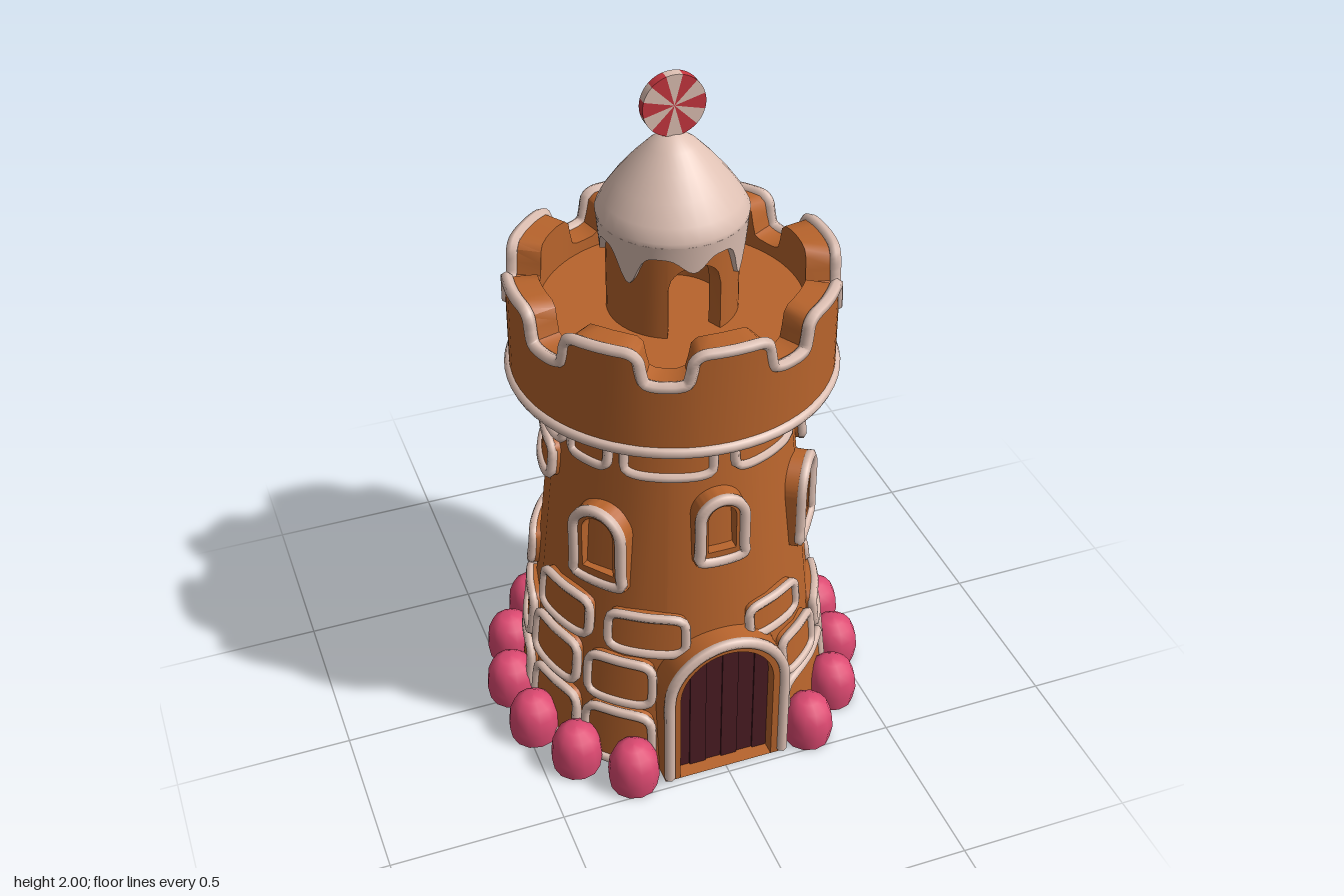
import * as THREE from 'three';
import { toCreasedNormals } from 'three/addons/utils/BufferGeometryUtils.js';

const mat = (name, color, side = THREE.FrontSide) => {
  const m = new THREE.MeshStandardMaterial({ color, side });
  m.name = name;
  return m;
};

export function createModel() {
  const biscuit = mat('gingerbread', 0xb8642c, THREE.DoubleSide);
  const icing = mat('icing', 0xdfc1b4);
  const wood = mat('chocolateDoor', 0x4a1c22, THREE.DoubleSide);
  const pink = mat('gumdropPink', 0xde4a72, THREE.DoubleSide);
  const red = mat('candyRed', 0xc8363f);

  const model = new THREE.Group();
  model.name = 'gingerbreadTower';
  const tower = new THREE.Group();
  tower.name = 'tower';
  tower.position.z = 0.025;
  model.add(tower);

  const add = (name, geo, material, parent = tower) => {
    const mesh = new THREE.Mesh(geo, material);
    mesh.name = name;
    parent.add(mesh);
    return mesh;
  };
  const rad = THREE.MathUtils.degToRad;
  // Point around the tower; angle in degrees from the front toward +x
  const polar = (a, y, r) => new THREE.Vector3(r * Math.sin(rad(a)), y, r * Math.cos(rad(a)));
  const wallR = (y) => 0.44 - 0.105 * y;

  // Curved wall from columns [angle, bottom, top], with radii depending on height
  function curvedWall(cols, rOut, rIn) {
    const pos = [];
    const quad = (a, b, c, d) => [a, b, c, a, c, d].forEach((p) => pos.push(p.x, p.y, p.z));
    const corners = ([a, b, t]) => [polar(a, b, rOut(b)), polar(a, t, rOut(t)), polar(a, b, rIn(b)), polar(a, t, rIn(t))];
    for (let i = 0; i + 1 < cols.length; i++) {
      const [ob0, ot0, ib0, it0] = corners(cols[i]);
      const [ob1, ot1, ib1, it1] = corners(cols[i + 1]);
      quad(ob0, ob1, ot1, ot0);
      quad(ib1, ib0, it0, it1);
      quad(ot0, ot1, it1, it0);
      quad(ob1, ob0, ib0, ib1);
    }
    const geo = new THREE.BufferGeometry();
    geo.setAttribute('position', new THREE.Float32BufferAttribute(pos, 3));
    return toCreasedNormals(geo, rad(40));
  }
  const tube = (pts, r, closed, segs) =>
    new THREE.TubeGeometry(new THREE.CatmullRomCurve3(pts, closed), segs, r, 6, closed);

  // Columns round a full circle, bottom raised over an arched opening
  function archedColumns(openings, r, halfW, base, crown, top) {
    const half = THREE.MathUtils.radToDeg(Math.asin(halfW / r));
    const cols = [];
    let from = openings[0] + half;
    openings.forEach((c, k) => {
      const next = (openings[k + 1] ?? openings[0] + 360) - half;
      for (let i = 0; i <= 18; i++) cols.push([from + (next - from) * i / 18, base, top]);
      for (let i = 0; i <= 16; i++) {
        const u = -1 + i / 8;
        cols.push([next + half + u * half, crown - halfW + halfW * Math.sqrt(1 - u * u), top]);
      }
      cols.push([next + 2 * half, base, top]);
      from = next + 2 * half;
    });
    return cols;
  }

  // Tapered hollow body with a doorway
  add('body', curvedWall(archedColumns([0], 0.42, 0.16, 0, 0.455, 1.115), wallR, (y) => wallR(y) - 0.012), biscuit);

  // Raised stones: [from angle, to angle, bottom, top]
  const stones = [];
  const row = (b, t, spans) => spans.forEach(([a0, a1, b2 = b, t2 = t]) => stones.push([a0, a1, b2, t2]));
  row(0.995, 1.105, [[-43, -1], [7, 45], [52, 93], [99, 127], [131, 163], [168, 205], [210, 250], [255, 284], [289, 311]]);
  row(0.84, 0.965, [[72, 114], [116, 133, 0.84, 0.95], [233, 276]]);
  row(0.42, 0.555, [[-85, -54, 0.42, 0.56], [-47, -14], [11, 39, 0.425, 0.54], [110, 156, 0.40, 0.545], [212, 255]]);
  row(0.235, 0.39, [[-88, -59], [-55, -27], [27, 51, 0.225, 0.365], [56, 82, 0.24, 0.365], [87, 113], [119, 142],
    [147, 175], [180, 206], [212, 238], [244, 268]]);
  row(0.02, 0.21, [[-85, -58], [-55, -27], [27, 66], [70, 100], [105, 130], [135, 165], [170, 200], [205, 235], [240, 270]]);
  for (const [a0, a1, b, t] of stones) {
    const mid = (a0 + a1) / 2, half = (a1 - a0) / 2, y = (b + t) / 2, h = (t - b) / 2;
    const cols = [];
    for (let i = 0; i <= 16; i++) {
      const u = -Math.cos(Math.PI * i / 16);
      const s = h * Math.pow(Math.max(0, 1 - Math.abs(u) ** 5), 0.2);
      cols.push([mid + u * half, y - s, y + s]);
    }
    add('stone', curvedWall(cols, (v) => wallR(v) + 0.017, (v) => wallR(v) - 0.005), biscuit);
    const ring = [];
    for (let i = 0; i < 28; i++) {
      const p = i / 28 * Math.PI * 2, c = Math.cos(p), s = Math.sin(p);
      const v = y + Math.sign(s) * Math.abs(s) ** 0.4 * (h - 0.008);
      ring.push(polar(mid + Math.sign(c) * Math.abs(c) ** 0.4 * half * 0.95, v, wallR(v) + 0.018));
    }
    add('stoneIcing', tube(ring, 0.014, true, 40), icing);
  }

  // Arch outline standing on y0
  function arch(path, w, y0, y1) {
    path.moveTo(-w / 2, y0);
    path.lineTo(w / 2, y0);
    path.lineTo(w / 2, y1 - w / 2);
    path.absarc(0, y1 - w / 2, w / 2, 0, Math.PI, false);
    path.closePath();
    return path;
  }
  function archFrame(name, angle, w, y0, y1, rim, back, front, closed) {
    const g = new THREE.Group();
    g.name = name;
    g.rotation.y = rad(angle);
    tower.add(g);
    const shape = arch(new THREE.Shape(), w, y0, y1);
    shape.holes.push(arch(new THREE.Path(), w - 2 * rim, closed ? y0 + rim : y0, y1 - rim));
    const geo = new THREE.ExtrudeGeometry(shape, { depth: front - back, bevelEnabled: false, curveSegments: 16 });
    geo.translate(0, 0, back);
    add('frame', toCreasedNormals(geo, rad(40)), biscuit, g);
    const r = w / 2 - 0.012, spring = y1 - w / 2, pts = [];
    for (let i = 0; i <= 4; i++) pts.push(new THREE.Vector3(r, y0 + 0.012 + (spring - y0 - 0.012) * i / 4, front));
    for (let i = 1; i < 12; i++) {
      const p = Math.PI * i / 12;
      pts.push(new THREE.Vector3(r * Math.cos(p), spring + r * Math.sin(p), front));
    }
    for (let i = 4; i >= 0; i--) pts.push(new THREE.Vector3(-r, y0 + 0.012 + (spring - y0 - 0.012) * i / 4, front));
    add('frameIcing', tube(pts, 0.016, closed, 56), icing, g);
  }
  archFrame('frontWindow', 0, 0.15, 0.73, 0.95, 0.035, 0.33, 0.388, true);
  for (const a of [-52, 55, 180]) archFrame('window', a, 0.175, 0.625, 0.88, 0.038, 0.33, 0.388, true);
  archFrame('doorFrame', 0, 0.37, 0, 0.485, 0.045, 0.35, 0.45, false);

  // Plank door, cut to the arch
  const planks = 6, doorHalf = 0.145;
  for (let k = 0; k < planks; k++) {
    const x0 = -doorHalf + 2 * doorHalf * k / planks, x1 = x0 + 2 * doorHalf / planks;
    const s = new THREE.Shape();
    s.moveTo(x0, 0);
    s.lineTo(x1, 0);
    for (let i = 0; i <= 5; i++) {
      const x = x1 + (x0 - x1) * i / 5;
      s.lineTo(x, 0.3 + Math.sqrt(Math.max(0, doorHalf ** 2 - x * x)));
    }
    const geo = new THREE.ExtrudeGeometry(s, { depth: 0.02, bevelEnabled: false });
    geo.translate(0, 0, 0.385 + (k % 2) * 0.005);
    add('doorPlank', geo, wood);
  }

  // Battlement: eight merlons with an icing line along the crest
  const merlon = [[-18, 1.36], [-15.3, 1.368], [-14, 1.4], [-13, 1.435], [-10.5, 1.45], [-5, 1.453], [0, 1.453],
    [5, 1.453], [10.5, 1.45], [13, 1.435], [14, 1.4], [15.3, 1.368], [18, 1.36], [22.5, 1.358]];
  const crest = [];
  for (let k = 0; k < 8; k++) merlon.forEach(([a, y]) => crest.push([k * 45 + a, y]));
  const battlementCols = crest.map(([a, y]) => [a, 1.15, y]);
  battlementCols.push([342, 1.15, 1.36]);
  add('battlement', curvedWall(battlementCols, () => 0.443, () => 0.358), biscuit);
  add('battlementIcing', tube(crest.map(([a, y]) => polar(a, y - 0.003, 0.438)), 0.017, true, 340), icing);
  const floor = add('battlementFloor', new THREE.CylinderGeometry(0.37, 0.42, 0.17, 40), biscuit);
  floor.position.y = 1.24;
  const band = add('baseIcing', new THREE.TorusGeometry(0.44, 0.017, 8, 64), icing);
  band.rotation.x = Math.PI / 2;
  band.position.y = 1.155;

  // Turret with front and back arches
  add('turret', curvedWall(archedColumns([0, 180], 0.18, 0.075, 1.3, 1.54, 1.63), () => 0.177, () => 0.135), biscuit);

  // Iced roof with drips
  const roof = [[0.2, 1.605], [0.203, 1.625], [0.185, 1.66], [0.15, 1.71], [0.108, 1.76], [0.065, 1.805], [0.03, 1.83], [0, 1.836]];
  add('roof', new THREE.LatheGeometry(roof.map(([x, y]) => new THREE.Vector2(x, y)), 32), icing);
  const drips = [];
  for (let i = 0; i <= 90; i++) {
    const a = i * 4, t = rad(a);
    const drip = (0.5 + 0.5 * Math.cos(7 * t + 0.6)) ** 2 * (0.075 + 0.035 * Math.sin(3 * t - 0.8));
    drips.push([a, 1.575 - drip, 1.612]);
  }
  add('roofDrips', curvedWall(drips, (y) => 0.188 + (y - 1.47) * 0.09, () => 0.165), icing);

  // Striped round candy on the tip
  const candy = new THREE.Group();
  candy.name = 'candy';
  candy.position.y = 1.915;
  candy.rotation.x = Math.PI / 2;
  tower.add(candy);
  const step = Math.PI / 6;
  for (let k = 0; k < 12; k++)
    add(k % 2 ? 'redStripe' : 'creamStripe',
      new THREE.CylinderGeometry(0.085, 0.085, 0.028, 4, 1, false, (k - 0.5) * step, step), k % 2 ? red : icing, candy);

  // Gumdrops round the base, leaving the doorway clear
  const drop = [[0.068, 0], [0.075, 0.045], [0.07, 0.09], [0.056, 0.125], [0.03, 0.143], [0, 0.146]];
  const dropGeo = new THREE.LatheGeometry(drop.map(([x, y]) => new THREE.Vector2(x, y)), 12);
  for (let k = -7; k <= 7; k++) add('gumdrop', dropGeo, pink).position.copy(polar(180 + k * 21, 0, 0.495));

  return model;
}
